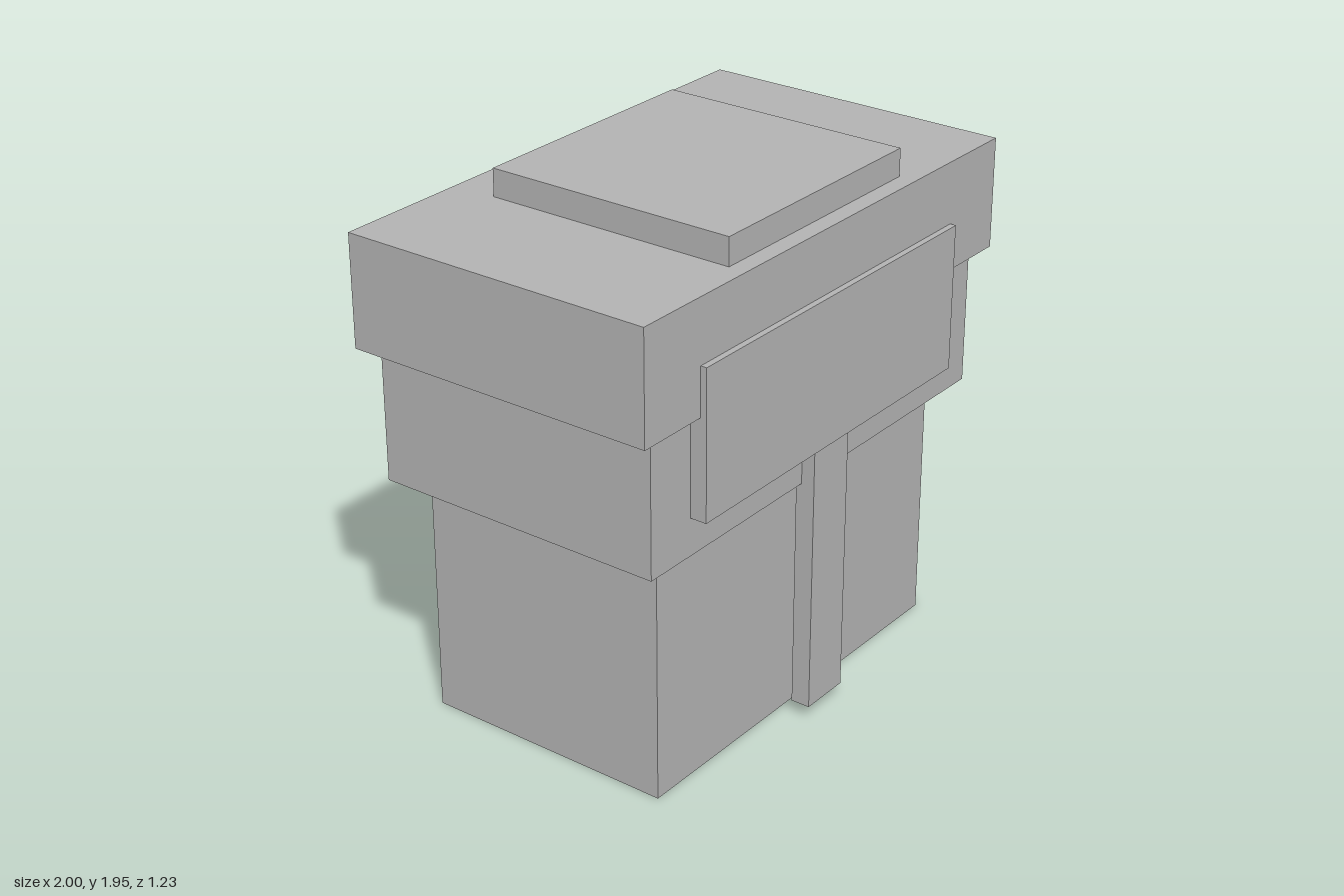
import * as THREE from 'three';

export function createModel() {
  const model = new THREE.Group();
  const grey = new THREE.MeshStandardMaterial({ color: 0xb2b2b2 });
  grey.name = 'plain grey';

  // Box centred on x, given by its half width and its y and z extents
  function addBox(name, halfWidth, y0, y1, z0, z1) {
    const geometry = new THREE.BoxGeometry(halfWidth * 2, y1 - y0, z1 - z0);
    const mesh = new THREE.Mesh(geometry, grey);
    mesh.name = name;
    mesh.position.set(0, (y0 + y1) / 2, (z0 + z1) / 2);
    model.add(mesh);
  }

  // Stepped body, widening upwards
  addBox('lowerBody', 0.796, 0, 0.928, -0.498, 0.474);
  addBox('middleBody', 0.922, 0.928, 1.436, -0.575, 0.552);
  addBox('upperBody', 1, 1.436, 1.848, -0.615, 0.592);
  addBox('topSlab', 0.485, 1.848, 1.95, -0.445, 0.525);

  // Front panel with a strip hanging below it
  addBox('frontPanel', 0.719, 1.067, 1.615, 0.54, 0.615);
  addBox('hangingStrip', 0.099, 0.054, 1.067, 0.53, 0.603);

  return model;
}
